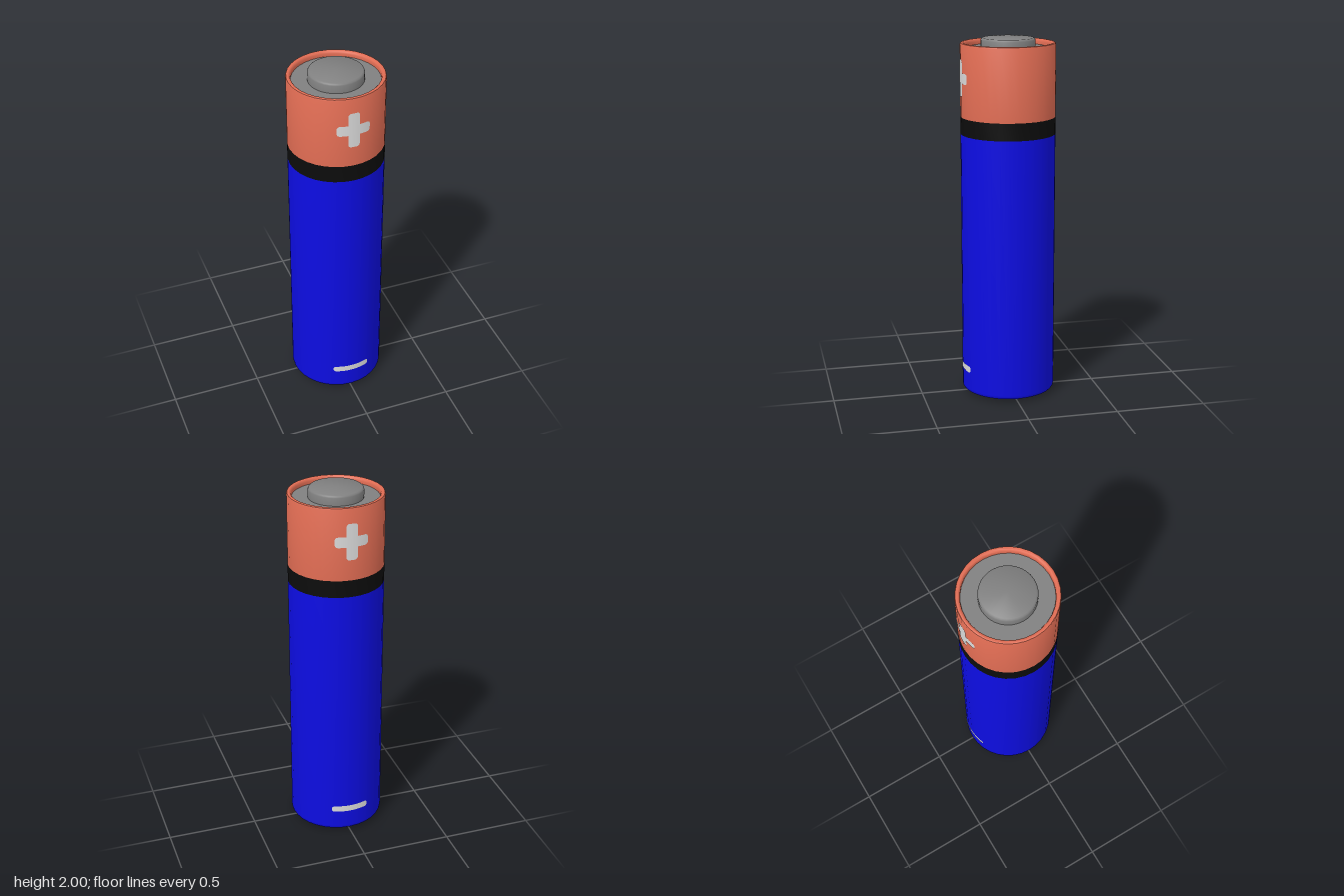
import * as THREE from 'three';
import { toCreasedNormals } from 'three/addons/utils/BufferGeometryUtils.js';

const SIDES = 32, R = 0.26;

function material(name, color) {
  const m = new THREE.MeshStandardMaterial({ color });
  m.name = name;
  return m;
}

// Profile points [radius, y], listed from the bottom outward and up
function turned(name, points, mat) {
  const profile = points.map(([r, y]) => new THREE.Vector2(r, y));
  const mesh = new THREE.Mesh(toCreasedNormals(new THREE.LatheGeometry(profile, SIDES), 0.65), mat);
  mesh.name = name;
  return mesh;
}

// Rounded bar wrapped around the casing: half width w, half height h, corner radius c
function wrappedBar(name, y, w, h, c, mat) {
  const geo = new THREE.PlaneGeometry(2, 2, 32, 1);
  const pos = geo.attributes.position;
  for (let i = 0; i < pos.count; i++) {
    const s = Math.sin(pos.getX(i) * Math.PI / 2); // finer slices near the ends
    const x = s * w;
    const d = Math.max(0, Math.abs(x) - (w - c));
    const half = h - c + Math.sqrt(Math.max(0, c * c - d * d));
    const r = R + 0.002;
    pos.setXYZ(i, x, y + pos.getY(i) * half, Math.sqrt(r * r - x * x));
  }
  geo.computeVertexNormals();
  const mesh = new THREE.Mesh(geo, mat);
  mesh.name = name;
  return mesh;
}

export function createModel() {
  const blue = material('blue casing', 0x0d0de4);
  const black = material('black band', 0x0c0c0c);
  const copper = material('copper casing', 0xe06c53);
  const steel = material('steel', 0x808080);
  const white = material('pale marking', 0xdcdcdc);

  const battery = new THREE.Group();
  battery.name = 'battery';

  // Casing in three colours
  battery.add(
    turned('lowerCasing', [[0.25, 0.02], [0.255, 0.022], [0.259, 0.029], [R, 0.04], [R, 1.48]], blue),
    turned('blackBand', [[R, 1.48], [R, 1.575]], black),
    turned('upperCasing', [[R, 1.575], [R, 1.966], [0.257, 1.973], [0.251, 1.976],
      [0.243, 1.975], [0.237, 1.97], [0.234, 1.96], [0.234, 1.945]], copper),
  );

  // Recessed top plate with the raised positive button
  battery.add(
    turned('topPlate', [[0.236, 1.945], [0.14, 1.945]], steel),
    turned('positiveButton', [[0.148, 1.945], [0.148, 1.988], [0.145, 1.995], [0.138, 2], [0, 2]], steel),
  );

  // Bottom plate with the low negative contact
  battery.add(
    turned('bottomPlate', [[0.17, 0.02], [0.251, 0.02]], steel),
    turned('negativeContact', [[0, 0], [0.172, 0], [0.18, 0.003], [0.183, 0.01], [0.183, 0.021]], steel),
  );

  // Polarity markings on the front and back
  for (const [side, turn] of [['front', 0], ['back', Math.PI]]) {
    const marks = new THREE.Group();
    marks.name = side + 'Markings';
    marks.add(
      wrappedBar('plusAcross', 1.79, 0.09, 0.029, 0.016, white),
      wrappedBar('plusUpright', 1.79, 0.031, 0.1, 0.016, white),
      wrappedBar('minus', 0.155, 0.105, 0.018, 0.014, white),
    );
    marks.rotation.y = turn;
    battery.add(marks);
  }
  return battery;
}
